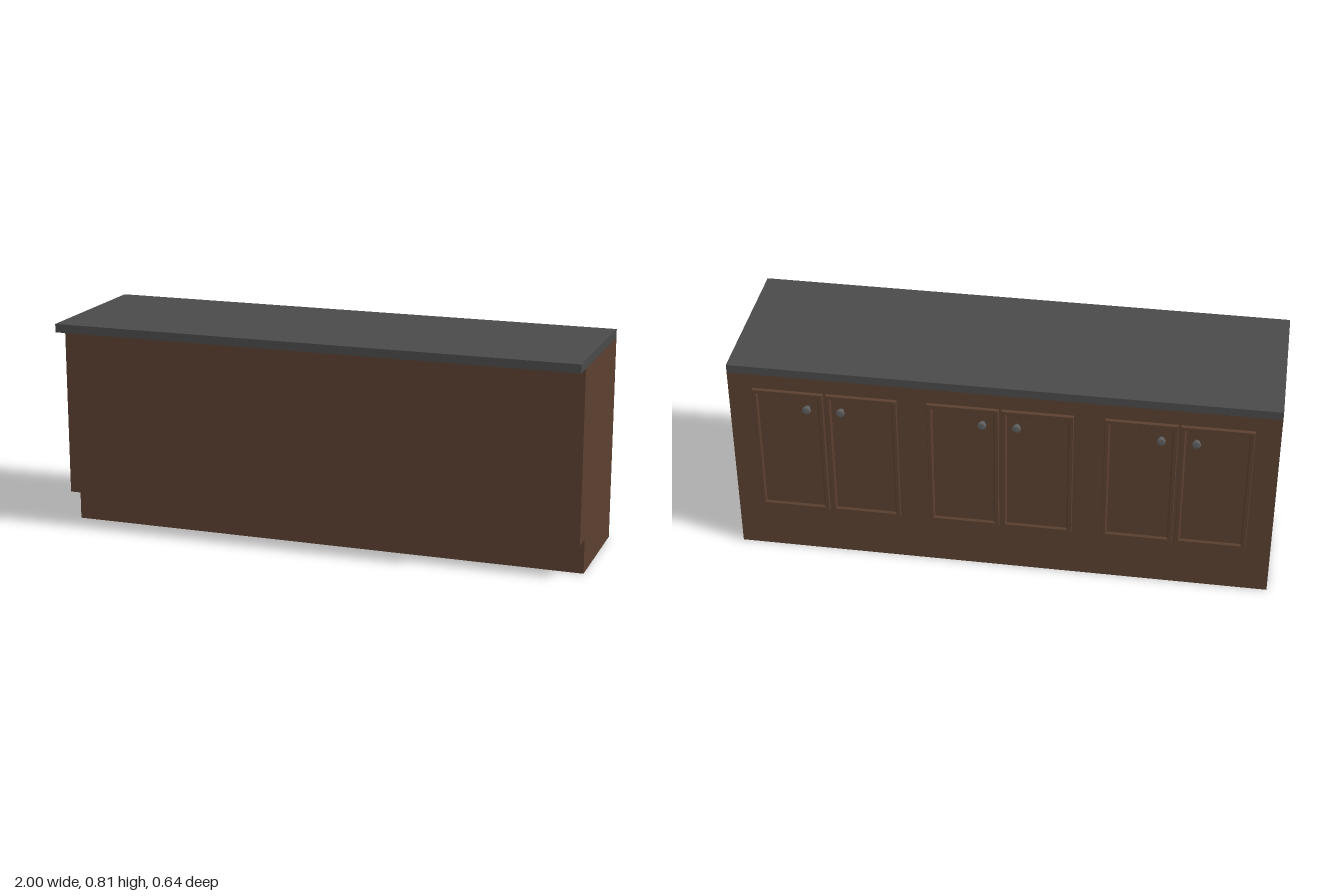
import * as THREE from 'three';

const wood = new THREE.MeshStandardMaterial({ color: 0x5b4030 });
const stone = new THREE.MeshStandardMaterial({ color: 0x4a4a4a });
const metal = new THREE.MeshStandardMaterial({ color: 0x606060 });

const BACK = -0.285;

function named(name, geometry, material) {
  const mesh = new THREE.Mesh(geometry, material);
  mesh.name = name;
  return mesh;
}

// Rectangular rings, each [inset, depth], joined into a moulded panel facing +z
function panelGeometry(w, h, rings) {
  const pos = [], idx = [];
  for (const [inset, z] of rings) {
    const x = w / 2 - inset, y = h / 2 - inset;
    pos.push(-x, -y, z, x, -y, z, x, y, z, -x, y, z);
  }
  for (let r = 0; r < rings.length - 1; r++) {
    for (let i = 0; i < 4; i++) {
      const a = r * 4 + i, b = r * 4 + (i + 1) % 4;
      idx.push(a, b, b + 4, a, b + 4, a + 4);
    }
  }
  const c = (rings.length - 1) * 4;
  idx.push(c, c + 1, c + 2, c, c + 2, c + 3);
  idx.push(0, 2, 1, 0, 3, 2);
  const g = new THREE.BufferGeometry();
  g.setAttribute('position', new THREE.Float32BufferAttribute(pos, 3));
  g.setIndex(idx);
  const flat = g.toNonIndexed();
  flat.computeVertexNormals();
  return flat;
}

export function createModel() {
  const model = new THREE.Group();
  model.name = 'kitchenIsland';

  // Cabinet body with a toe recess, profile swept along x (profile x = -z)
  const profile = new THREE.Shape([
    [-0.163, 0], [0.285, 0], [0.285, 0.775], [-0.242, 0.775], [-0.242, 0.13], [-0.163, 0.13],
  ].map(([x, y]) => new THREE.Vector2(x, y)));
  const body = new THREE.ExtrudeGeometry(profile, { depth: 2, bevelEnabled: false });
  body.rotateY(Math.PI / 2).translate(-1, 0, 0);
  model.add(named('cabinetBody', body, wood));

  // Countertop overhanging the front
  const top = new THREE.BoxGeometry(2, 0.032, 0.605);
  top.translate(0, 0.791, 0.0175);
  model.add(named('countertop', top, stone));

  // Shared door and knob shapes
  const doorShape = panelGeometry(0.261, 0.527, [
    [0, 0], [0, 0.01], [0.002, 0.0125], [0.014, 0.0125], [0.02, 0.005],
  ]);
  const knobShape = new THREE.LatheGeometry([
    [0, 0], [0.011, 0], [0.009, 0.003], [0.009, 0.01], [0.014, 0.012],
    [0.016, 0.015], [0.015, 0.021], [0.011, 0.023], [0, 0.023],
  ].map(([r, y]) => new THREE.Vector2(r, y)), 20);
  knobShape.rotateX(Math.PI / 2);

  // Three pairs of doors on the back, knobs near the meeting edges
  for (const cx of [-0.643, 0, 0.643]) {
    for (const side of [-1, 1]) {
      const door = new THREE.Group();
      door.name = 'cabinetDoor';
      door.add(named('doorPanel', doorShape, wood));
      const knob = named('doorKnob', knobShape, metal);
      knob.position.set(side * 0.073, 0.203, 0.01);
      door.add(knob);
      door.position.set(cx + side * 0.1355, 0.4535, BACK);
      door.rotation.y = Math.PI;
      model.add(door);
    }
  }
  return model;
}
